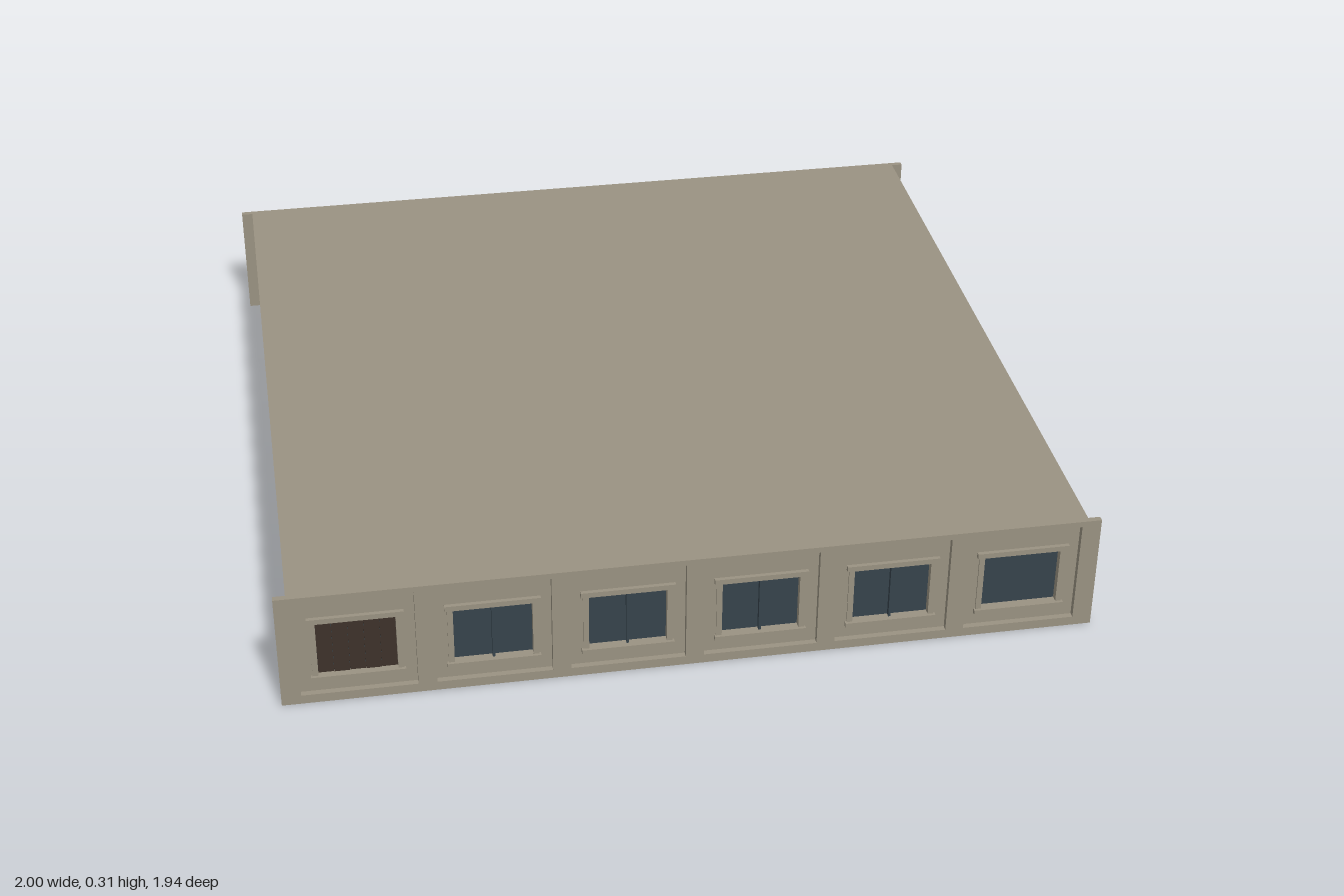
import * as THREE from 'three';

const stone = new THREE.MeshStandardMaterial({ color: 0x9a9282 });
stone.name = 'stone';
const glass = new THREE.MeshStandardMaterial({ color: 0x36434c });
glass.name = 'glass';
const wood = new THREE.MeshStandardMaterial({ color: 0x3d322a });
wood.name = 'boardedWood';
const plank = new THREE.MeshStandardMaterial({ color: 0x34302b });
plank.name = 'darkPlank';

const H = 0.31, OUT = 0.97, PANEL = 0.955, GLASS = 0.938;
const PITCH = 0.325, COUNT = 6;
const bayX = (i) => (i - (COUNT - 1) / 2) * PITCH;

function box(parent, name, material, w, h, d, x, y, z, turn = 0) {
  const mesh = new THREE.Mesh(new THREE.BoxGeometry(w, h, d), material);
  mesh.name = name;
  mesh.position.set(x, y, z);
  mesh.rotation.z = turn;
  parent.add(mesh);
  return mesh;
}

// A wall sheet pierced by one rectangular hole per bay
function piercedSheet(name, half, holeW, y0, y1, back, front) {
  const shape = new THREE.Shape([
    new THREE.Vector2(-half, 0), new THREE.Vector2(half, 0),
    new THREE.Vector2(half, H), new THREE.Vector2(-half, H),
  ]);
  for (let i = 0; i < COUNT; i++) {
    const a = bayX(i) - holeW / 2, b = bayX(i) + holeW / 2;
    shape.holes.push(new THREE.Path([
      new THREE.Vector2(a, y0), new THREE.Vector2(a, y1),
      new THREE.Vector2(b, y1), new THREE.Vector2(b, y0),
    ]));
  }
  const geo = new THREE.ExtrudeGeometry(shape, { depth: front - back, bevelEnabled: false });
  geo.translate(0, 0, back);
  const mesh = new THREE.Mesh(geo, stone);
  mesh.name = name;
  return mesh;
}

// Straight bar between two points on the wall
function bar(parent, name, material, x0, y0, x1, y1, thick, depth, z) {
  box(parent, name, material, Math.hypot(x1 - x0, y1 - y0), thick, depth,
    (x0 + x1) / 2, (y0 + y1) / 2, z, Math.atan2(y1 - y0, x1 - x0));
}

function makeWindow(type, gabled) {
  const g = new THREE.Group();
  g.name = type + 'Window';
  box(g, 'pane', glass, 0.19, 0.155, 0.006, 0, 0.1475, GLASS);

  // Raised surround, lintel and sill
  for (const s of [-1, 1]) box(g, 'jamb', stone, 0.014, 0.155, 0.008, s * 0.102, 0.1475, PANEL);
  box(g, 'lintel', stone, 0.23, 0.014, 0.02, 0, 0.232, PANEL);
  box(g, 'sill', stone, 0.226, 0.012, 0.022, 0, 0.064, PANEL);
  if (gabled) {
    for (const s of [-1, 1]) bar(g, 'pediment', stone, s * 0.118, 0.242, 0, 0.276, 0.009, 0.02, PANEL);
  }

  if (type === 'boarded') {
    for (let i = 0; i < 5; i++) {
      box(g, 'board', wood, 0.0375, 0.155, 0.006 + (i % 2) * 0.003, (i - 2) * 0.038, 0.1475, 0.944);
    }
  } else if (type === 'split') {
    box(g, 'mullion', glass, 0.006, 0.155, 0.014, 0, 0.1475, 0.946);
  } else if (type === 'barred') {
    for (const y of [0.113, 0.168]) box(g, 'crossPlank', plank, 0.2, 0.014, 0.012, 0, y, 0.956);
  } else if (type === 'crossed') {
    for (const s of [-1, 1]) bar(g, 'diagonalPlank', plank, -s * 0.07, 0.078, s * 0.03, 0.2, 0.006, 0.008, 0.946 + s * 0.002);
  }
  return g;
}

function makeWall(name, types, half, turn, gabledWall) {
  const wall = new THREE.Group();
  wall.name = name;
  wall.add(piercedSheet('pilasterFrame', half, 0.28, 0.024, 0.295, PANEL, OUT));
  wall.add(piercedSheet('recessedPanels', 0.9545, 0.19, 0.07, 0.225, GLASS, PANEL));
  types.forEach((type, i) => {
    const win = makeWindow(type, gabledWall && type !== 'split');
    win.position.x = bayX(i);
    wall.add(win);
  });
  wall.rotation.y = turn;
  return wall;
}

export function createModel() {
  const model = new THREE.Group();
  model.name = 'buildingStorey';

  // Solid core carrying the roof and floor
  box(model, 'core', stone, GLASS * 2, H, GLASS * 2, 0, H / 2, 0);

  // Front and back walls overhang the side walls at the corners
  model.add(
    makeWall('frontWall', ['boarded', 'split', 'split', 'split', 'split', 'plain'], 1, 0, false),
    makeWall('leftWall', ['crossed', 'crossed', 'barred', 'boarded', 'boarded', 'plain'], PANEL, Math.PI / 2, true),
    makeWall('backWall', ['boarded', 'boarded', 'barred', 'crossed', 'crossed', 'plain'], 1, Math.PI, true),
    makeWall('rightWall', ['crossed', 'split', 'split', 'split', 'boarded', 'boarded'], PANEL, -Math.PI / 2, true),
  );
  return model;
}
